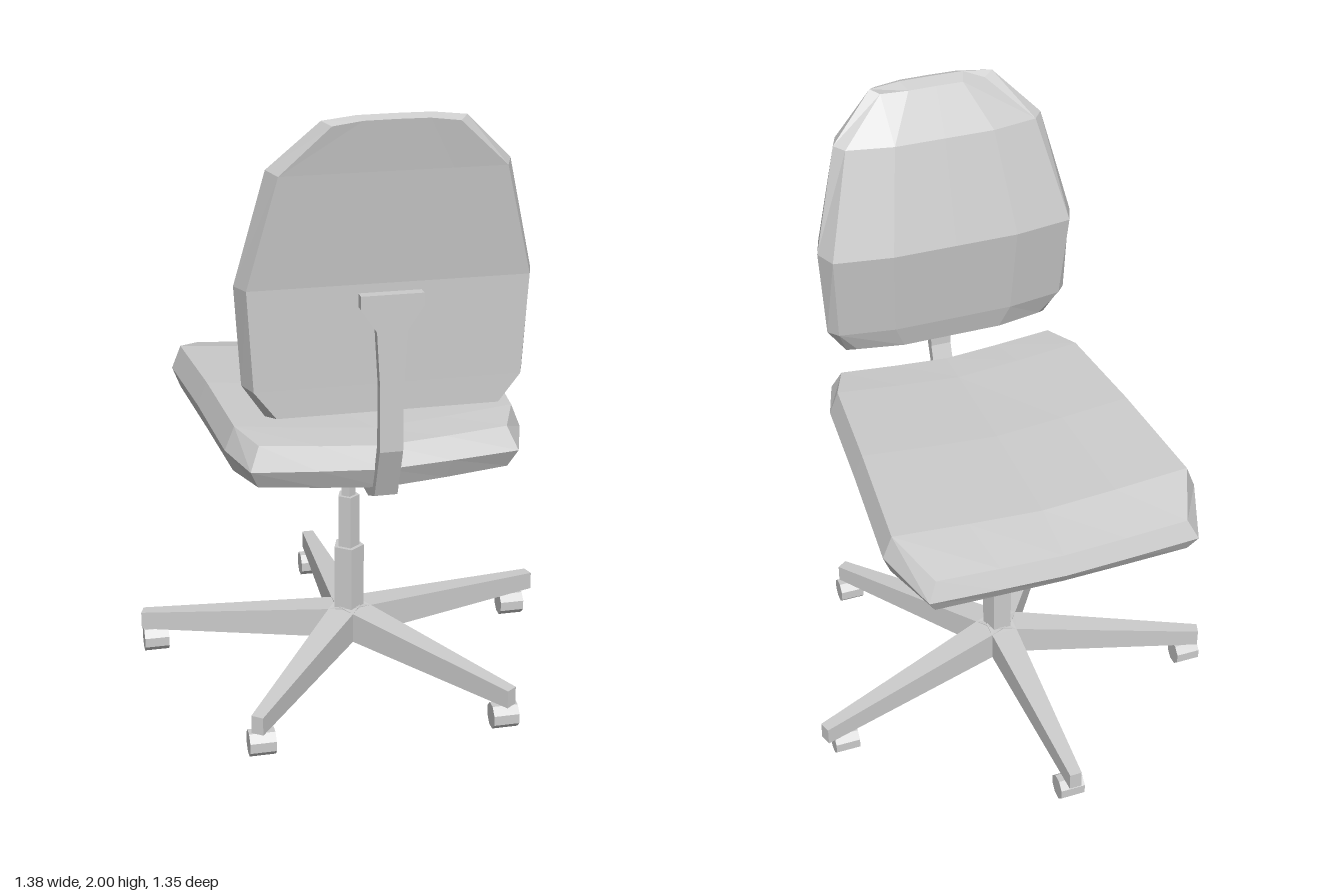
import * as THREE from 'three';

const CX = -0.02, CZ = 0.04; // column axis
const mat = new THREE.MeshStandardMaterial({ color: 0xcccccc, flatShading: true });

function mesh(name, geo, x = 0, y = 0, z = 0) {
  const m = new THREE.Mesh(geo, mat);
  m.name = name;
  m.position.set(x, y, z);
  return m;
}

// Collects quads (counter-clockwise corners) into a faceted geometry
function quadGeometry(quads) {
  const pos = [];
  for (const [a, b, c, d] of quads) pos.push(...a, ...b, ...c, ...a, ...c, ...d);
  const geo = new THREE.BufferGeometry();
  geo.setAttribute('position', new THREE.Float32BufferAttribute(pos, 3));
  geo.computeVertexNormals();
  return geo;
}

// Cushion from three stacked grids: face, widest rim and underside.
// point(layer, u, row) gives a position; u runs -1..1 across.
function cushion(columns, rows, point) {
  const n = columns.length, quads = [];
  const at = (l, i, j) => point(l, columns[i], j);
  for (let i = 0; i < n - 1; i++) {
    for (let j = 0; j < rows - 1; j++) {
      quads.push([at(0, i, j), at(0, i, j + 1), at(0, i + 1, j + 1), at(0, i + 1, j)]);
      quads.push([at(2, i, j), at(2, i + 1, j), at(2, i + 1, j + 1), at(2, i, j + 1)]);
    }
  }
  const edge = [];
  for (let j = 0; j < rows - 1; j++) edge.push([0, j]);
  for (let i = 0; i < n - 1; i++) edge.push([i, rows - 1]);
  for (let j = rows - 1; j > 0; j--) edge.push([n - 1, j]);
  for (let i = n - 1; i > 0; i--) edge.push([i, 0]);
  edge.forEach((p, k) => {
    const q = edge[(k + 1) % edge.length];
    for (let l = 0; l < 2; l++) quads.push([at(l, ...p), at(l + 1, ...p), at(l + 1, ...q), at(l, ...q)]);
  });
  return quadGeometry(quads);
}

// Loft through four-cornered sections (counter-clockwise seen from the far end), closed at both ends
function loft(sections) {
  const quads = [];
  for (let s = 0; s < sections.length - 1; s++) {
    const a = sections[s], b = sections[s + 1];
    for (let k = 0; k < 4; k++) {
      const m = (k + 1) % 4;
      quads.push([a[k], a[m], b[m], b[k]]);
    }
  }
  quads.push([...sections[0]].reverse(), sections[sections.length - 1]);
  return quadGeometry(quads);
}

function seat() {
  const z = [[-0.53, -0.35, 0.05, 0.42, 0.55], [-0.555, -0.35, 0.05, 0.42, 0.58], [-0.53, -0.34, 0.05, 0.41, 0.55]];
  const w = [0.44, 0.518, 0.486, 0.457, 0.405];
  const inset = [0.03, 0, 0.025];
  const y = [[0.965, 1.02, 1.035, 1.03, 1.015], [0.905, 0.945, 0.96, 0.955, 0.945], [0.855, 0.88, 0.885, 0.885, 0.885]];
  const dip = [[0.02, 0.035, 0.04, 0.04, 0.03], [0.02, 0.03, 0.03, 0.03, 0.025], [0.01, 0.04, 0.05, 0.055, 0.035]];
  return cushion([-1, -0.5, 0, 0.5, 1], 5, (l, u, j) =>
    [CX + u * (w[j] - inset[l]), y[l][j] - dip[l][j] * (1 - Math.abs(u) ** 1.2), z[l][j]]);
}

function backrest() {
  const y = [[1.12, 1.2, 1.5, 1.84, 1.985], [1.105, 1.2, 1.5, 1.845, 2.0], [1.115, 1.2, 1.505, 1.84, 1.99]];
  const w = [0.355, 0.42, 0.437, 0.35, 0.205];
  const inset = [0.03, 0, 0.025];
  const z = [[0.485, 0.465, 0.425, 0.52, 0.6], [0.545, 0.53, 0.53, 0.585, 0.645], [0.6, 0.6, 0.605, 0.65, 0.675]];
  return cushion([-1, -0.52, 0, 0.52, 1], 5, (l, u, j) => {
    const bulge = l === 0 ? 0.03 * Math.max(0, (Math.abs(u) - 0.52) / 0.48) : 0;
    const drop = j === 4 ? 0.012 * u ** 4 : 0; // softened top corners
    return [CX + u * (w[j] - inset[l]), y[l][j] - drop, z[l][j] + bulge];
  });
}

// Bent strap from under the seat up to the backrest
function bracket() {
  // half width, inner z, inner y, outer z, outer y
  const path = [
    [0.035, 0.15, 0.835, 0.15, 0.8], [0.035, 0.48, 0.835, 0.49, 0.8],
    [0.035, 0.555, 0.865, 0.575, 0.835], [0.035, 0.605, 1.01, 0.64, 1.0],
    [0.035, 0.608, 1.2, 0.64, 1.2], [0.045, 0.608, 1.37, 0.64, 1.37],
    [0.092, 0.608, 1.44, 0.64, 1.44], [0.092, 0.608, 1.48, 0.64, 1.48],
  ];
  return loft(path.map(([w, iz, iy, oz, oy]) =>
    [[CX - w, iy, iz], [CX - w, oy, oz], [CX + w, oy, oz], [CX + w, iy, iz]]));
}

// Tapered leg pointing to -z from the hub
function leg(length) {
  // half width, bottom, top, z
  const parts = [[0.045, 0.1, 0.21, 0], [0.045, 0.1, 0.203, -0.06], [0.02, 0.082, 0.142, -length]];
  return loft(parts.map(([w, b, t, z]) => [[-w, b, z], [-w, t, z], [w, t, z], [w, b, z]]));
}

export function createModel() {
  const model = new THREE.Group();
  model.name = 'officeChair';

  model.add(mesh('seat', seat()), mesh('backrest', backrest()), mesh('backBracket', bracket()));
  model.add(mesh('seatPlate', new THREE.BoxGeometry(0.56, 0.065, 0.33), CX, 0.832, 0.035));

  // Telescopic column
  const column = new THREE.Group();
  column.name = 'column';
  for (const [name, r, y0, y1] of [['lowerTube', 0.052, 0.17, 0.425], ['middleTube', 0.037, 0.42, 0.605], ['upperTube', 0.025, 0.6, 0.81]]) {
    column.add(mesh(name, new THREE.CylinderGeometry(r, r, y1 - y0, 5), CX, (y0 + y1) / 2, CZ));
  }
  model.add(column);

  // Five-legged base; all casters roll along z
  const base = new THREE.Group();
  base.name = 'base';
  const wheelGeo = new THREE.CylinderGeometry(0.042, 0.042, 0.082, 8).rotateY(Math.PI / 8).rotateZ(Math.PI / 2);
  [0.715, 0.702, 0.685, 0.688, 0.735].forEach((length, i) => {
    const a = (i * 2 * Math.PI) / 5;
    const arm = mesh('leg', leg(length), CX, 0, CZ);
    arm.rotation.y = a;
    base.add(arm, mesh('caster', wheelGeo, CX - 0.658 * Math.sin(a), 0.042, CZ - 0.658 * Math.cos(a)));
  });
  model.add(base);
  return model;
}
